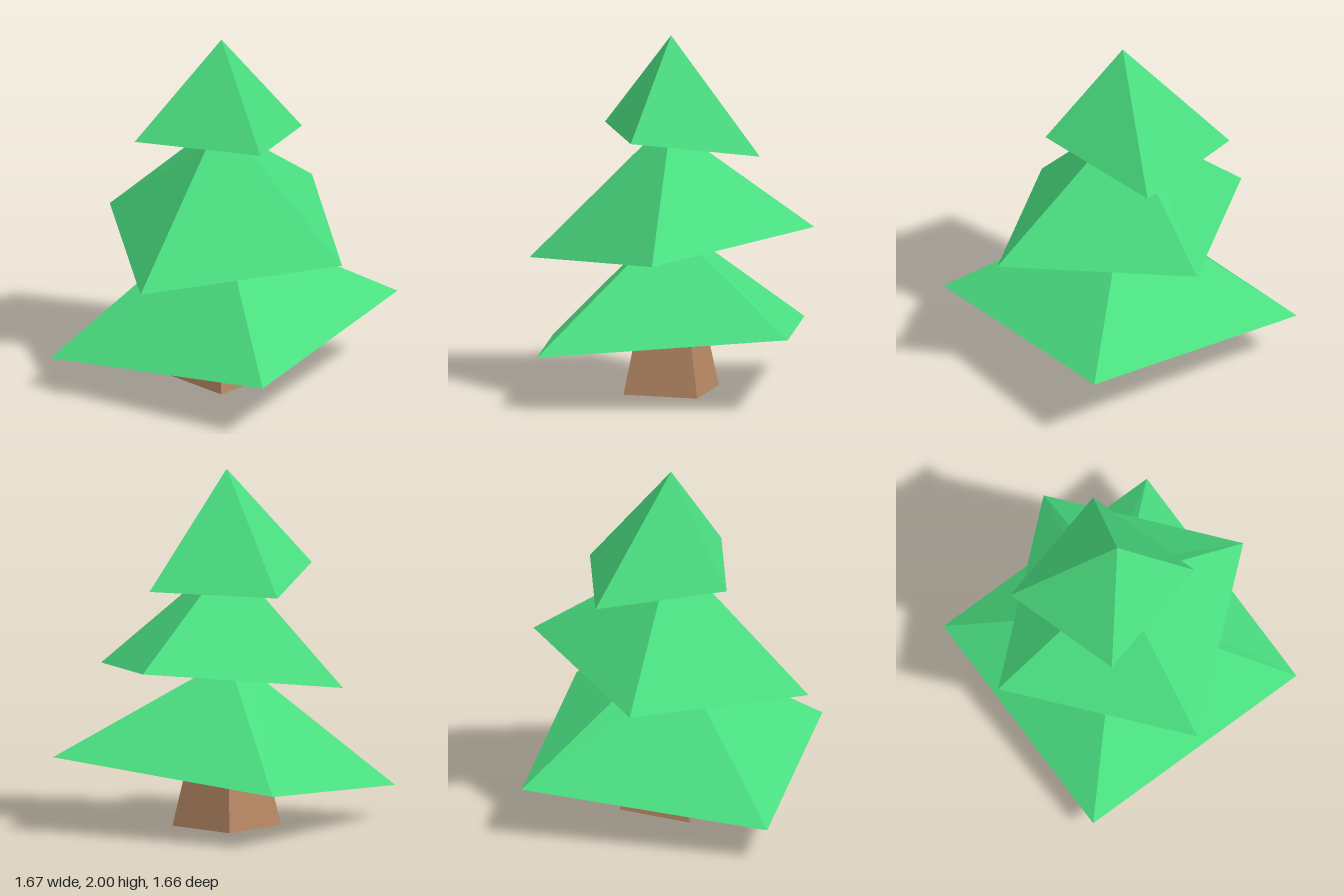
import * as THREE from 'three';

const AXIS_X = -0.02; // the trunk line sits slightly off centre

// Axis-aligned square ring for the trunk
const square = (half, y) =>
  [[1, 1], [-1, 1], [-1, -1], [1, -1]].map(([sx, sz]) => [AXIS_X + sx * half, y, sz * half]);

// Small level ring at height y, turned the same way as a branch ring
function neck(ring, scale, y) {
  const cx = ring.reduce((s, p) => s + p[0], 0) / 4;
  const cz = ring.reduce((s, p) => s + p[2], 0) / 4;
  return ring.map(([x, , z]) => [AXIS_X + (x - cx) * scale, y, (z - cz) * scale]);
}

// Flat-faced skin through four-cornered rings, from the bottom up
function loft(rings, { tip, bottom } = {}) {
  const pos = [];
  const tri = (...pts) => pts.forEach((p) => pos.push(...p));
  for (let i = 0; i < 4; i++) {
    const j = (i + 1) % 4;
    for (let r = 0; r < rings.length - 1; r++) {
      const a = rings[r], b = rings[r + 1];
      tri(a[j], a[i], b[i]);
      tri(a[j], b[i], b[j]);
    }
    const top = rings[rings.length - 1];
    if (tip) tri(top[j], top[i], tip);
  }
  if (bottom) {
    const a = rings[0];
    tri(a[0], a[1], a[2]);
    tri(a[0], a[2], a[3]);
  }
  const geometry = new THREE.BufferGeometry();
  geometry.setAttribute('position', new THREE.Float32BufferAttribute(pos, 3));
  geometry.computeVertexNormals();
  return geometry;
}

export function createModel() {
  const group = new THREE.Group();
  group.name = 'tree';

  const bark = new THREE.MeshStandardMaterial({ color: 0xb58763 });
  bark.name = 'bark brown';
  const leaf = new THREE.MeshStandardMaterial({ color: 0x4ade80 });
  leaf.name = 'leaf green';

  const add = (name, geometry, material) => {
    const mesh = new THREE.Mesh(geometry, material);
    mesh.name = name;
    group.add(mesh);
  };

  // Tilted outer corners of each layer of branches
  const lower = [[0.835, 0.305, 0.525], [-0.53, 0.185, 0.83], [-0.84, 0.3, -0.53], [0.525, 0.42, -0.835]];
  const middle = [[0.8, 0.845, -0.13], [0.125, 0.735, 0.775], [-0.79, 0.835, 0.11], [-0.115, 0.945, -0.8]];
  const upper = [[0.4, 1.455, 0.11], [-0.25, 1.45, 0.45], [-0.58, 1.35, -0.2], [0.07, 1.36, -0.54]];

  // Narrow joints between the layers
  const trunkTop = square(0.155, 0.35);
  const lowerNeck = neck(lower, 0.16, 0.85);
  const middleNeck = neck(middle, 0.17, 1.4);

  // Tapered trunk
  add('trunk', loft([square(0.213, 0), trunkTop], { bottom: true }), bark);

  // Branch layers: underside spreads out from the joint below, then slopes in
  add('lowerBranches', loft([trunkTop, lower, lowerNeck]), leaf);
  add('middleBranches', loft([lowerNeck, middle, middleNeck]), leaf);
  add('upperBranches', loft([middleNeck, upper], { tip: [AXIS_X, 2, 0] }), leaf);

  return group;
}
